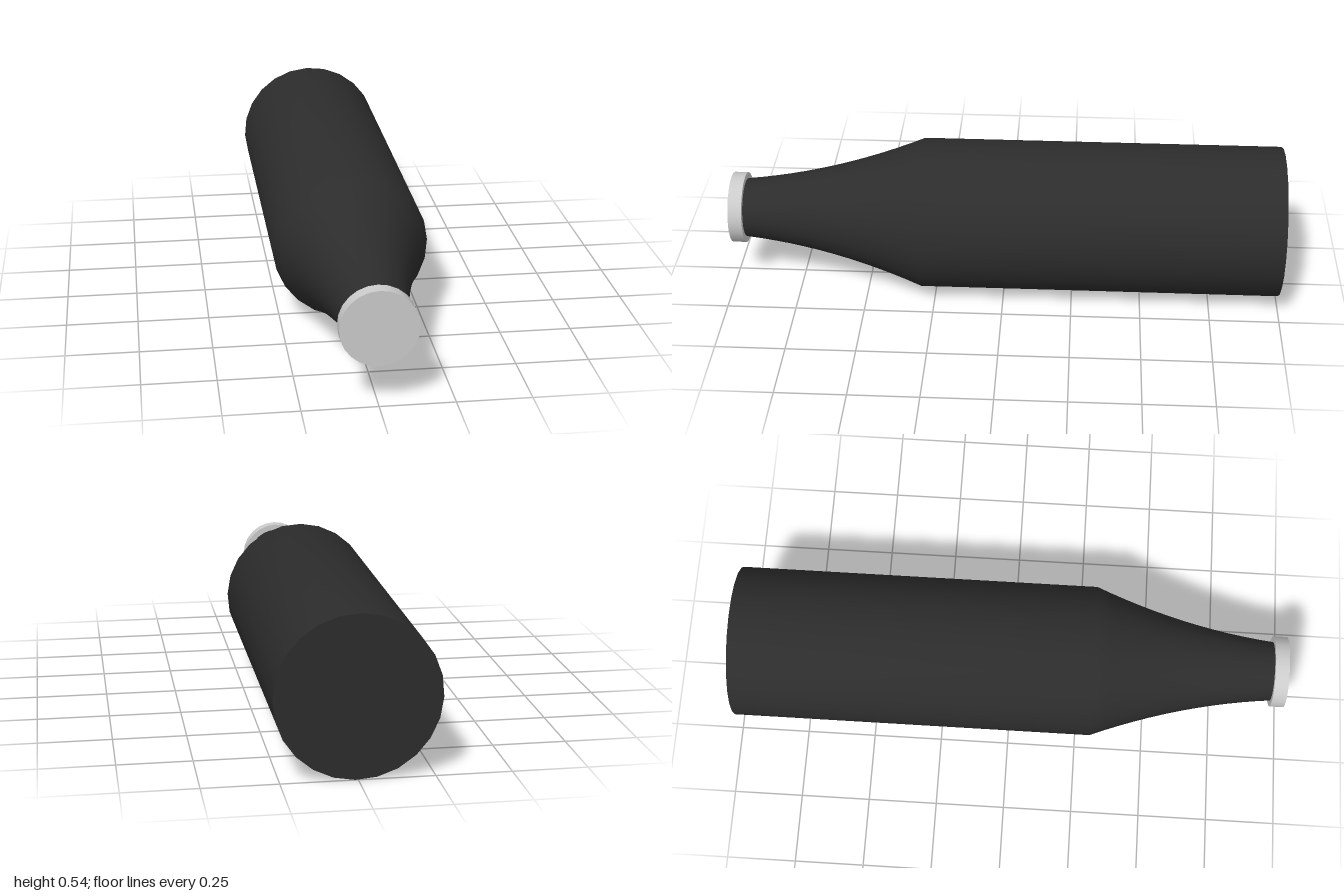
import * as THREE from 'three';
import { toCreasedNormals } from 'three/addons/utils/BufferGeometryUtils.js';

const SIDES = 24;
const RADIUS = 0.272;

export function createModel() {
  const model = new THREE.Group();
  model.name = 'bottle';

  // Body: closed base, straight barrel, then a concave taper to the neck
  const profile = [new THREE.Vector2(0, -1), new THREE.Vector2(RADIUS, -1)];
  const steps = 12;
  for (let i = 0; i <= steps; i++) {
    const u = 0.65 * (1 - i / steps); // distance from the neck end
    profile.push(new THREE.Vector2(0.107 + 0.1 * u + 0.237 * u * u, 0.95 - u));
  }
  const bodyGeometry = toCreasedNormals(new THREE.LatheGeometry(profile, SIDES), Math.PI / 6);
  bodyGeometry.rotateX(Math.PI / 2);
  bodyGeometry.rotateZ(THREE.MathUtils.degToRad(2));
  const body = new THREE.Mesh(
    bodyGeometry,
    new THREE.MeshStandardMaterial({ color: 0x2c2c2c, side: THREE.DoubleSide })
  );
  body.name = 'body';
  body.position.y = RADIUS;

  // Cap: short disc over the neck, a little wider than it
  const capGeometry = new THREE.CylinderGeometry(0.129, 0.129, 0.05, SIDES);
  capGeometry.rotateX(Math.PI / 2);
  const cap = new THREE.Mesh(capGeometry, new THREE.MeshStandardMaterial({ color: 0xcccccc }));
  cap.name = 'cap';
  cap.position.set(0, RADIUS, 0.975);

  model.add(body, cap);
  return model;
}
